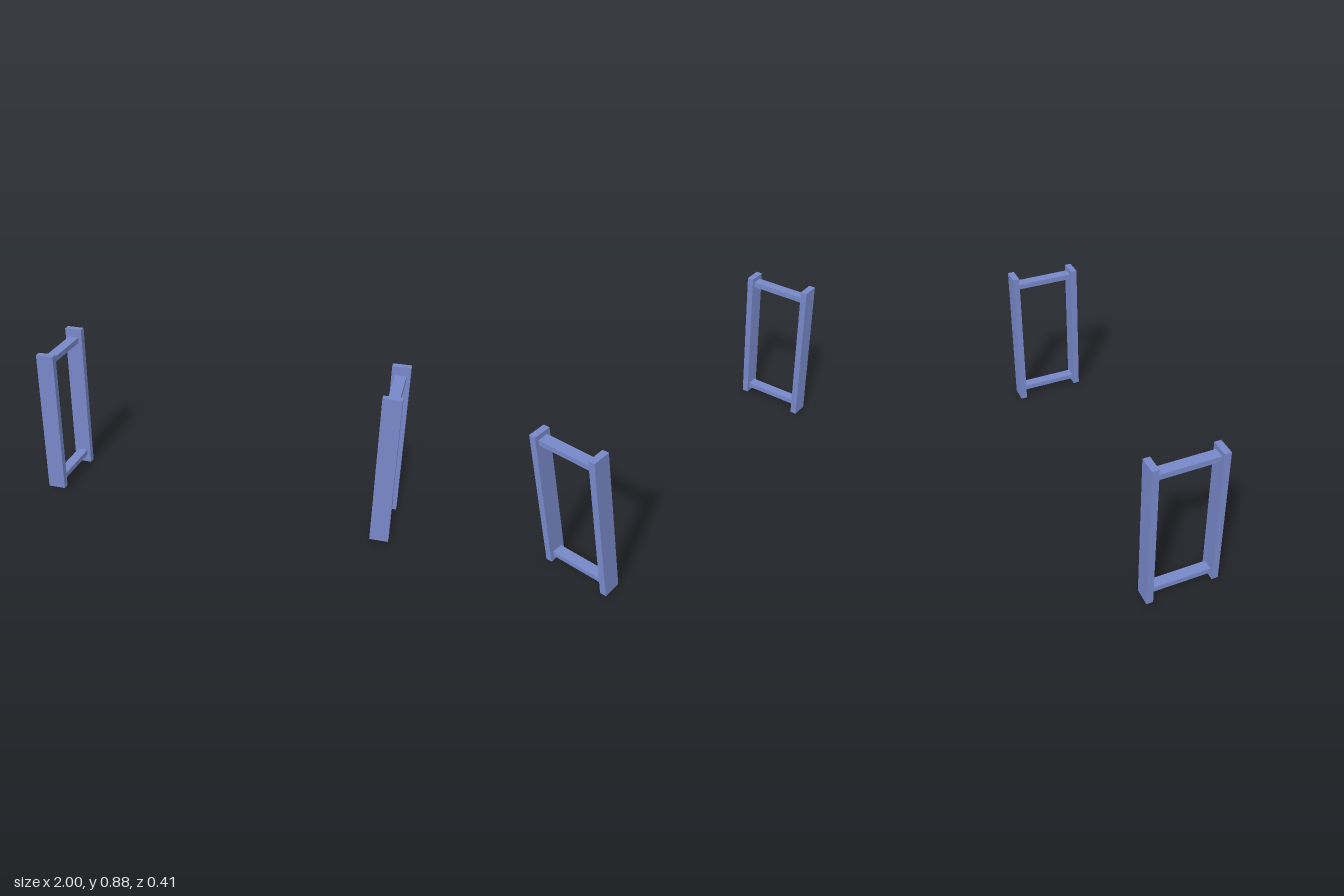
import * as THREE from 'three';

export function createModel() {
  const model = new THREE.Group();
  const material = new THREE.MeshStandardMaterial({ color: 0x7788c8, flatShading: true });

  // box given by its width and its y and z extents
  const addBar = (parent, name, width, [y0, y1], [z0, z1]) => {
    const bar = new THREE.Mesh(new THREE.BoxGeometry(width, y1 - y0, z1 - z0), material);
    bar.name = name;
    bar.position.set(0, (y0 + y1) / 2, (z0 + z1) / 2);
    parent.add(bar);
  };

  // two identical side frames
  for (const [side, x] of [['left', 0.95], ['right', -0.95]]) {
    const frame = new THREE.Group();
    frame.name = `${side}Frame`;
    frame.position.x = x;

    // wide flat posts, the back one slightly taller
    addBar(frame, 'frontPost', 0.1, [0.022, 0.859], [0.167, 0.204]);
    addBar(frame, 'backPost', 0.1, [0, 0.881], [-0.204, -0.166]);

    // narrower rails joining the posts
    addBar(frame, 'lowerRail', 0.06, [0.051, 0.081], [-0.166, 0.167]);
    addBar(frame, 'upperRail', 0.06, [0.8, 0.831], [-0.166, 0.167]);

    model.add(frame);
  }
  return model;
}
